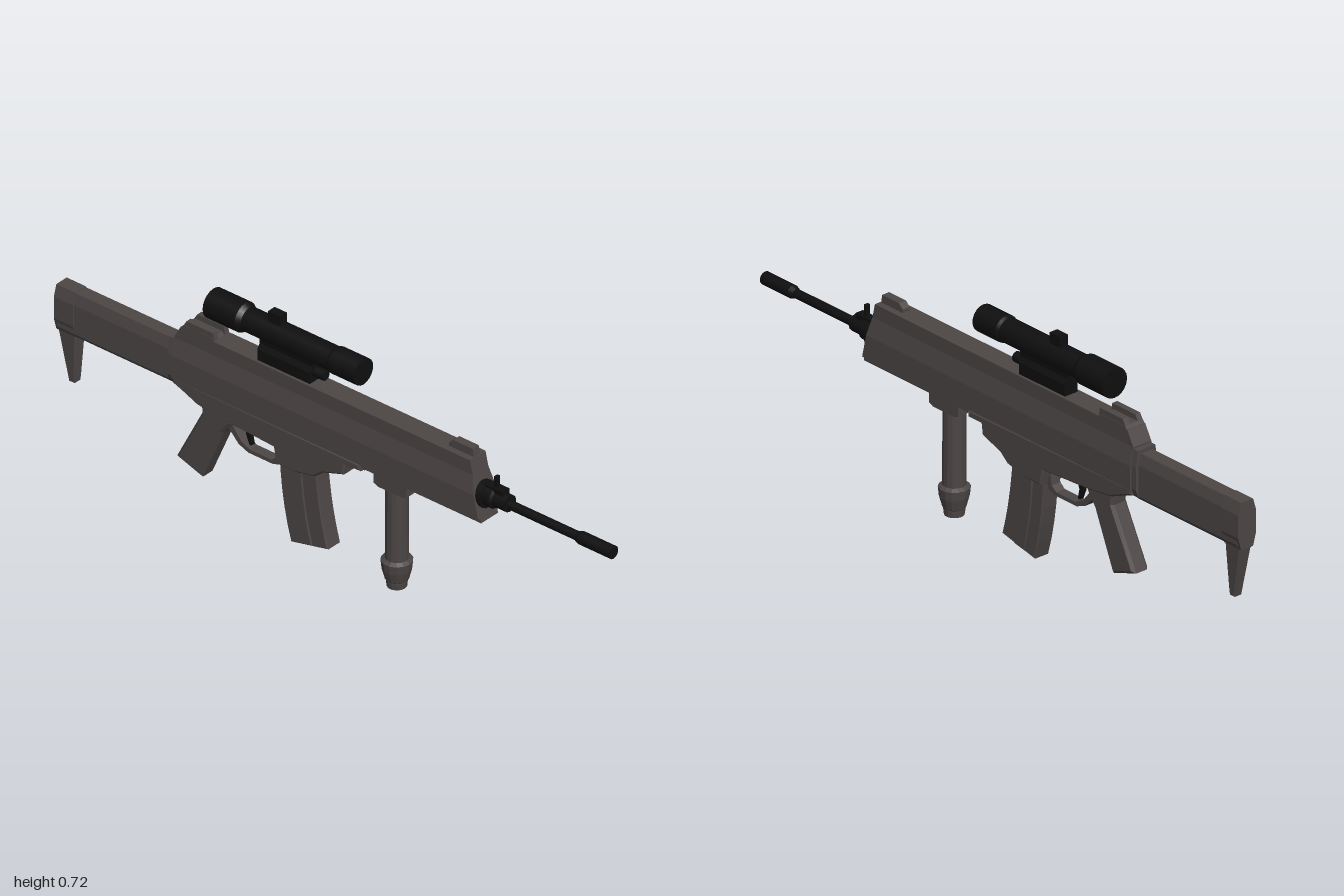
import * as THREE from 'three';

const gray = new THREE.MeshStandardMaterial({ color: 0x4c4645 });
gray.name = 'gunmetal gray';
const black = new THREE.MeshStandardMaterial({ color: 0x0f0f0f });
black.name = 'matte black';

export function createModel() {
  const group = new THREE.Group();

  const add = (name, geo, mat) => {
    const mesh = new THREE.Mesh(geo, mat);
    mesh.name = name;
    group.add(mesh);
    return mesh;
  };
  const toShape = (pts) => new THREE.Shape(pts.map(([a, b]) => new THREE.Vector2(a, b)));

  // Plate from a side outline of [z, y] points, centred on x = 0
  const side = (name, pts, half, bevel = 0, mat = gray) => {
    const geo = new THREE.ExtrudeGeometry(toShape(pts), {
      depth: 2 * (half - bevel), bevelEnabled: bevel > 0, bevelSize: bevel,
      bevelOffset: -bevel, bevelThickness: bevel, bevelSegments: 1, curveSegments: 8,
    });
    geo.translate(0, 0, -(half - bevel)).rotateY(-Math.PI / 2);
    return add(name, geo, mat);
  };

  // Bar from half a cross-section of [x, y] points; its ends follow y by rule
  const bar = (name, halfPts, rear, front, mat = gray) => {
    const mirrored = halfPts.slice().reverse().map(([x, y]) => [-x, y]);
    const geo = new THREE.ExtrudeGeometry(toShape([...halfPts, ...mirrored]), { depth: 1, bevelEnabled: false });
    const p = geo.attributes.position;
    for (let i = 0; i < p.count; i++) {
      p.setZ(i, p.getZ(i) > 0.5 ? front(p.getY(i)) : rear(p.getY(i)));
    }
    geo.computeVertexNormals();
    return add(name, geo, mat);
  };

  const box = (name, x, y0, y1, z0, z1, half, mat = gray) => {
    const geo = new THREE.BoxGeometry(2 * half, y1 - y0, z1 - z0);
    geo.translate(x, (y0 + y1) / 2, (z0 + z1) / 2);
    return add(name, geo, mat);
  };

  // Turned part along z from [radius, z] stations, with crisp steps
  const turned = (name, y, stations, mat = black, sides = 18) => {
    stations.slice(1).forEach(([r1, z1], i) => {
      const [r0, z0] = stations[i];
      if (z0 === z1) return;
      const geo = new THREE.CylinderGeometry(r1, r0, z1 - z0, sides);
      geo.rotateX(Math.PI / 2).translate(0, y, (z0 + z1) / 2);
      add(name, geo, mat);
    });
  };

  // Upper receiver with slanted nose and stepped rear
  bar('upperReceiver',
    [[0.036, 0.362], [0.036, 0.375], [0.045, 0.377], [0.045, 0.45], [0.033, 0.505], [0.033, 0.549]],
    (y) => (y > 0.52 ? -0.54 : -0.565),
    (y) => 0.55 - (y - 0.365) * 0.23);

  // Lower receiver and magazine well
  side('lowerReceiver', [[0.115, 0.375], [0.115, 0.35], [0.06, 0.35], [0.055, 0.315], [-0.02, 0.29],
    [-0.05, 0.265], [-0.12, 0.25], [-0.19, 0.25], [-0.2, 0.3], [-0.37, 0.31], [-0.475, 0.322],
    [-0.53, 0.345], [-0.565, 0.358], [-0.565, 0.38]], 0.042, 0.006);
  box('bottomRail', 0, 0.35, 0.37, 0.06, 0.12, 0.026);

  // Stock collar, stock and butt hook
  bar('stockCollar', [[0.03, 0.355], [0.04, 0.38], [0.04, 0.45], [0.032, 0.5]], () => -0.583, () => -0.55);
  bar('stock', [[0.021, 0.347], [0.03, 0.36], [0.03, 0.455], [0.021, 0.489]], () => -0.99, () => -0.57);
  bar('buttPlate', [[0.022, 0.345], [0.033, 0.385], [0.033, 0.455], [0.022, 0.491]], () => -1, () => -0.93);
  const hook = side('buttHook', [[-0.93, 0.36], [-0.94, 0.2], [-0.942, 0.185], [-0.962, 0.185], [-0.998, 0.36]], 0.022, 0.004);
  const hp = hook.geometry.attributes.position;
  for (let i = 0; i < hp.count; i++) {
    hp.setX(i, hp.getX(i) * (0.65 + 0.35 * (hp.getY(i) - 0.185) / 0.175));
  }
  hook.geometry.computeVertexNormals();

  // Front sight block and two rear sight ears
  side('frontSight', [[0.505, 0.545], [0.5, 0.574], [0.43, 0.574], [0.415, 0.56], [0.415, 0.545]], 0.013);
  side('rearSightBase', [[-0.42, 0.545], [-0.43, 0.558], [-0.53, 0.558], [-0.54, 0.545]], 0.033);
  for (const s of [-1, 1]) {
    side('rearSightEar', [[-0.42, 0.55], [-0.425, 0.575], [-0.52, 0.575], [-0.535, 0.55]], 0.009).position.x = s * 0.023;
  }

  // Barrel, muzzle, gas block and post
  turned('barrel', 0.437, [[0.014, 0.5], [0.014, 0.89]], black, 14);
  turned('muzzle', 0.437, [[0.015, 0.87], [0.02, 0.885], [0.02, 1]], black, 14);
  turned('barrelCollar', 0.437, [[0.04, 0.48], [0.04, 0.548]]);
  turned('gasBlock', 0.44, [[0.034, 0.54], [0.034, 0.575], [0.026, 0.58], [0.026, 0.625]], black, 12);
  box('gasBlockTop', 0, 0.45, 0.478, 0.545, 0.61, 0.014, black);
  box('frontPost', 0, 0.46, 0.512, 0.573, 0.583, 0.007, black);

  // Scope with turret and mount
  turned('scopeTube', 0.65, [[0.046, -0.45], [0.046, -0.335], [0.037, -0.32], [0.037, -0.01],
    [0.041, 0.0], [0.041, 0.094]], black, 20);
  turned('eyepieceRing', 0.65, [[0.043, -0.452], [0.043, -0.445]], black, 20);
  box('scopeTurret', 0, 0.66, 0.717, -0.24, -0.196, 0.014, black);
  bar('scopeMount', [[0.024, 0.549], [0.024, 0.585], [0.014, 0.6], [0.018, 0.64]],
    () => -0.27, (y) => (y > 0.59 ? -0.075 : -0.08), black);
  turned('mountKnob', 0.581, [[0.016, -0.1], [0.016, -0.042]], black, 10);

  // Vertical foregrip
  side('foregripMount', [[0.28, 0.37], [0.28, 0.332], [0.265, 0.325], [0.175, 0.325], [0.16, 0.332], [0.16, 0.37]], 0.035);
  const gripProfile = [[0, 0.002], [0.029, 0.002], [0.031, 0.02], [0.031, 0.024], [0.034, 0.027],
    [0.043, 0.06], [0.046, 0.088], [0.034, 0.095], [0.033, 0.33]];
  const grip = new THREE.LatheGeometry(gripProfile.map(([r, y]) => new THREE.Vector2(r, y)), 14).toNonIndexed();
  grip.computeVertexNormals();
  grip.translate(0, 0, 0.215);
  add('foregrip', grip, gray);

  // Curved magazine with a raised band along each side
  const curve = (z0, y0, zc, yc, z1, y1) => new THREE.QuadraticBezierCurve(
    new THREE.Vector2(z0, y0), new THREE.Vector2(zc, yc), new THREE.Vector2(z1, y1))
    .getPoints(5).map((p) => [p.x, p.y]);
  side('magazine', [...curve(-0.012, 0.035, -0.045, 0.15, -0.055, 0.29),
    ...curve(-0.19, 0.29, -0.185, 0.13, -0.147, 0.005)], 0.028, 0.004);
  side('magazineBand', [...curve(-0.066, 0.026, -0.1, 0.14, -0.105, 0.28),
    ...curve(-0.145, 0.28, -0.14, 0.135, -0.108, 0.018)], 0.032, 0.003);

  // Pistol grip
  side('pistolGrip', [[-0.36, 0.325], [-0.365, 0.295], [-0.395, 0.255], [-0.47, 0.08], [-0.563, 0.112],
    [-0.472, 0.29], [-0.475, 0.325]], 0.029, 0.009);

  // Trigger guard strip and trigger
  side('triggerGuard', [[-0.185, 0.255], [-0.195, 0.233], [-0.22, 0.224], [-0.31, 0.224], [-0.345, 0.238],
    [-0.39, 0.285], [-0.375, 0.3], [-0.335, 0.25], [-0.305, 0.236], [-0.225, 0.236], [-0.207, 0.25], [-0.2, 0.29]], 0.016);
  side('trigger', [[-0.295, 0.315], [-0.312, 0.275], [-0.305, 0.245], [-0.313, 0.243], [-0.326, 0.275], [-0.322, 0.315]], 0.007, 0, black);

  return group;
}
